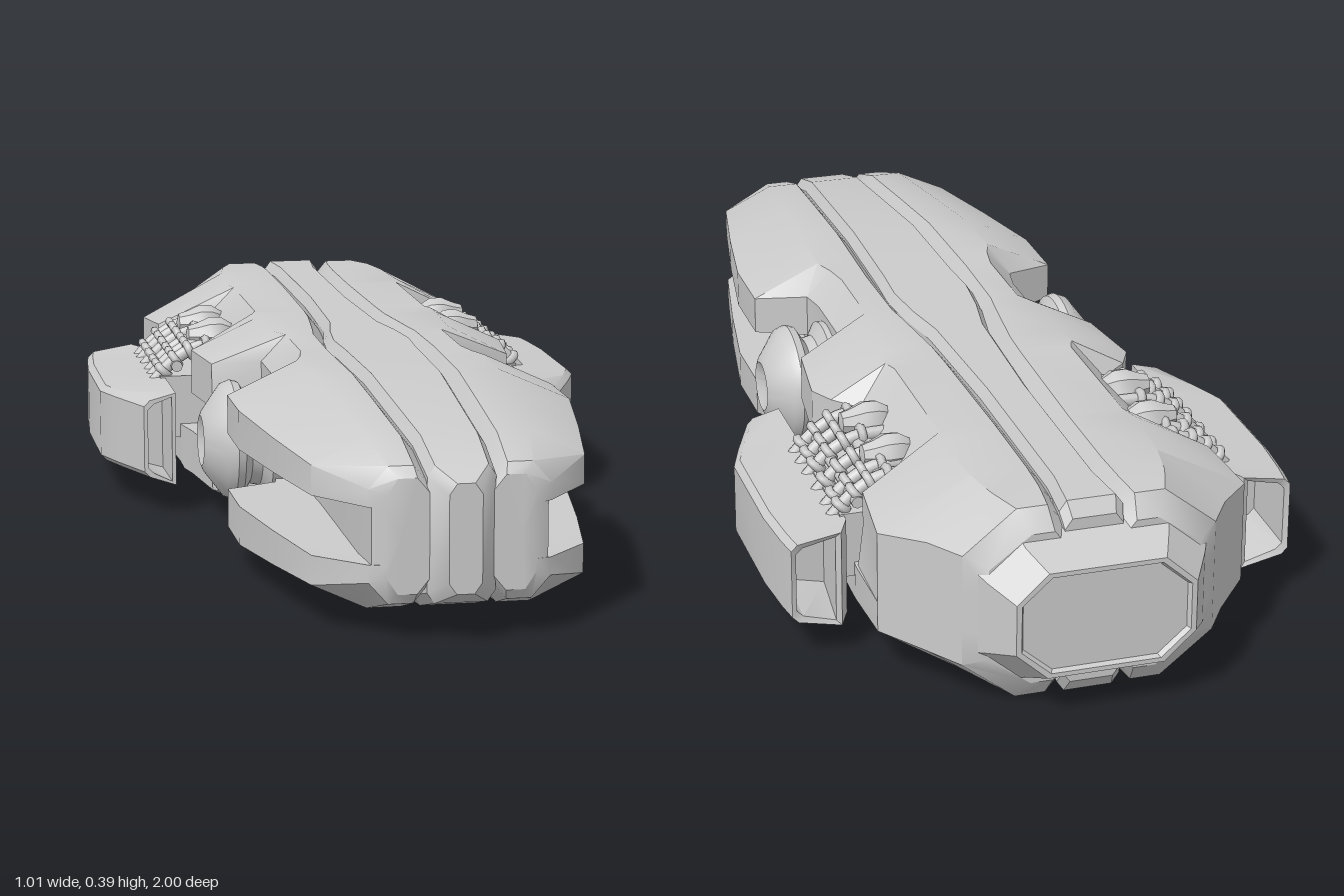
import * as THREE from 'three';
import { mergeGeometries, toCreasedNormals } from 'three/addons/utils/BufferGeometryUtils.js';

const CY = 0.193; // height of the hull's mid-plane
const mat = new THREE.MeshStandardMaterial({ color: 0xcccccc });

// Skin a list of equal-length loops of [x, y, z] and cap both ends
function loft(loops, crease = 0.55) {
  const n = loops[0].length, pos = loops.flat(2), idx = [];
  for (let i = 0; i < loops.length - 1; i++) {
    for (let j = 0; j < n; j++) {
      const a = i * n + j, b = i * n + (j + 1) % n;
      idx.push(a, b, b + n, a, b + n, a + n);
    }
  }
  [0, loops.length - 1].forEach((k) => {
    const c = pos.length / 3;
    for (let d = 0; d < 3; d++) pos.push(loops[k].reduce((s, p) => s + p[d], 0) / n);
    for (let j = 0; j < n; j++) {
      const a = k * n + j, b = k * n + (j + 1) % n;
      k ? idx.push(c, a, b) : idx.push(c, b, a);
    }
  });
  // Turn the faces outward if the enclosed volume is negative
  const v = (i) => new THREE.Vector3(pos[i * 3], pos[i * 3 + 1], pos[i * 3 + 2]);
  let vol = 0;
  for (let i = 0; i < idx.length; i += 3) vol += v(idx[i]).dot(v(idx[i + 1]).cross(v(idx[i + 2])));
  if (vol < 0) idx.reverse();
  const g = new THREE.BufferGeometry();
  g.setAttribute('position', new THREE.Float32BufferAttribute(pos, 3));
  g.setIndex(idx);
  return toCreasedNormals(g, crease);
}

// Mirror a geometry across x = 0, keeping its faces outward
function mirrored(geo) {
  const g = geo.index ? geo.toNonIndexed() : geo.clone();
  for (const name of ['position', 'normal']) {
    const a = g.attributes[name];
    for (let i = 0; i < a.count; i += 3) {
      const p = [0, 2, 1].map((k) => [-a.getX(i + k), a.getY(i + k), a.getZ(i + k)]);
      p.forEach((q, k) => a.setXYZ(i + k, ...q));
    }
  }
  return g;
}

// Lathe around an axis parallel to x; profile points are [radius, x]
function latheX(profile, y, z, segments) {
  const g = new THREE.LatheGeometry(profile.map((p) => new THREE.Vector2(...p)), segments);
  g.rotateZ(-Math.PI / 2).scale(1, 1, 1).translate(0, y, z);
  return toCreasedNormals(g, 0.6);
}

// Spine half width and half height along z
const spine = [
  [1.0, 0.03, 0.1], [0.96, 0.062, 0.125], [0.85, 0.066, 0.157], [0.45, 0.08, 0.193],
  [0.2, 0.085, 0.193], [0.1, 0.09, 0.193], [0, 0.08, 0.193], [-0.1, 0.062, 0.193],
  [-0.4, 0.05, 0.193], [-0.8, 0.05, 0.193], [-0.9, 0.06, 0.193], [-0.92, 0.055, 0.165],
];
function spineWidth(z) {
  for (let i = 0; i < spine.length - 1; i++) {
    const [a, b] = [spine[i], spine[i + 1]];
    if (z <= a[0] && z >= b[0]) return THREE.MathUtils.mapLinear(z, a[0], b[0], a[1], b[1]);
  }
  return 0.055;
}

// Hull side: z, half height, deck edge, width, shoulder height, slot floor x, slot half height, upper width
const sides = [
  [0.965, 0.105, 0.115, 0.135, 0.075, 0.135, 0.05],
  [0.95, 0.125, 0.13, 0.165, 0.085, 0.16, 0.052],
  [0.85, 0.157, 0.15, 0.25, 0.11, 0.165, 0.055],
  [0.65, 0.176, 0.165, 0.288, 0.12, 0.165, 0.055],
  [0.45, 0.193, 0.18, 0.32, 0.13, 0.165, 0.055],
  [0.3, 0.193, 0.185, 0.32, 0.13, 0.17, 0.055],
  [0.255, 0.193, 0.17, 0.22, 0.14, 0.18, 0.055],
  [0.2, 0.193, 0.16, 0.21, 0.14, 0.19, 0.05],
  [0.02, 0.193, 0.16, 0.21, 0.14, 0.19, 0.04],
  [-0.02, 0.193, 0.18, 0.305, 0.13, 0.25, 0.04],
  [-0.18, 0.193, 0.19, 0.325, 0.13, 0.27, 0.04],
  [-0.23, 0.193, 0.19, 0.335, 0.13, 0.29, 0.04, 0.3],
  [-0.26, 0.193, 0.18, 0.34, 0.12, 0.25, 0.04, 0.25],
  [-0.56, 0.193, 0.18, 0.35, 0.12, 0.25, 0.04, 0.25],
  [-0.6, 0.193, 0.19, 0.355, 0.11, 0.35, 0.04, 0.34],
  [-0.75, 0.193, 0.18, 0.355, 0.1, 0.355, 0.04],
  [-0.83, 0.193, 0.165, 0.285, 0.11, 0.285, 0.04],
  [-0.9, 0.19, 0.14, 0.24, 0.11, 0.24, 0.04],
  [-0.93, 0.15, 0.12, 0.2, 0.09, 0.2, 0.04],
];
function sideLoop([z, h, t, w, m, f, c, wu = w]) {
  const s = spineWidth(z) - 0.004, g = Math.min(s + 0.026, t);
  return [
    [s, h - 0.032], [g, h], [t, h], [wu, m], [wu, c], [Math.min(f, wu), c],
    [f, -c], [w, -c], [w, -m], [t, -h], [g, -h], [s, 0.032 - h],
  ].map(([x, y]) => [x, y + CY, z]);
}

// Octagon with half width w, half height h and corner cut c
function octagon(z, w, h, cx, cy) {
  return [[w, h - cy], [w - cx, h], [cx - w, h], [-w, h - cy],
    [-w, cy - h], [cx - w, -h], [w - cx, -h], [w, cy - h]].map(([x, y]) => [x, y + CY, z]);
}

// Pod cross-section from inner x to outer x, shrunk by d
function podLoop(z, xi, xo, d = 0) {
  const [a, b, y0, y1] = [xi + d, xo - d, 0.06 + d, 0.252 - d];
  return [[a, y0], [b - 0.012, y0 + 0.018], [b, y0 + 0.03],
    [b, y1 - 0.026], [b - 0.012, y1 - 0.014], [a, y1]].map(([x, y]) => [x, y, z]);
}

export function createModel() {
  const model = new THREE.Group();
  const add = (name, geo) => {
    const mesh = new THREE.Mesh(geo, mat);
    mesh.name = name;
    model.add(mesh);
  };
  const addPair = (name, geo) => {
    add('left' + name, geo);
    add('right' + name, mirrored(geo));
  };

  // Central spine, slotted hull sides and blunt tail
  add('spine', loft(spine.map(([z, w, h]) => octagon(z, w, h, 0.014, 0.02))));
  addPair('HullSide', loft(sides.map(sideLoop)));
  add('tail', loft([
    octagon(-0.84, 0.26, 0.17, 0.1, 0.08), octagon(-0.9, 0.225, 0.155, 0.08, 0.07),
    octagon(-0.94, 0.205, 0.13, 0.07, 0.06), octagon(-1, 0.17, 0.105, 0.06, 0.055),
    octagon(-1, 0.16, 0.096, 0.056, 0.05), octagon(-0.99, 0.155, 0.092, 0.055, 0.048),
  ]));

  // Round side thrusters in the waist, dimpled at the outer end
  addPair('Thruster', latheX([
    [0, 0.17], [0.1, 0.18], [0.118, 0.2], [0.118, 0.222], [0.092, 0.238], [0.088, 0.258],
    [0.115, 0.275], [0.119, 0.29], [0.112, 0.308], [0.062, 0.345], [0.05, 0.35], [0.03, 0.338], [0, 0.332],
  ], 0.2, 0.135, 40));

  // Hollow-ended outrigger pods and the arms carrying them
  addPair('Pod', loft([
    podLoop(-0.5, 0.375, 0.495, 0.015), podLoop(-0.645, 0.395, 0.49, 0.01),
    podLoop(-0.65, 0.395, 0.49), podLoop(-0.6, 0.372, 0.497), podLoop(-0.5, 0.37, 0.505),
    podLoop(-0.27, 0.37, 0.505), podLoop(-0.2, 0.37, 0.48), podLoop(-0.09, 0.37, 0.435),
    podLoop(-0.09, 0.37, 0.435, 0.008), podLoop(-0.2, 0.37, 0.47, 0.014),
  ]));
  const arm = new THREE.BoxGeometry(0.14, 0.13, 0.33);
  arm.translate(0.31, 0.19, -0.42);
  addPair('PodArm', arm);

  // Bulbs, ribbed hoses and cross rods joining hull and pod
  const bulbs = [-0.49, -0.34].map((z) => latheX([
    [0, 0.2], [0.018, 0.21], [0.036, 0.24], [0.037, 0.265], [0.026, 0.29], [0.02, 0.31], [0, 0.315],
  ], 0.325, z, 8));
  addPair('Bulbs', mergeGeometries(bulbs));

  const hoses = [];
  for (const z of [-0.56, -0.515, -0.45, -0.38, -0.33, -0.28]) {
    const path = new THREE.CatmullRomCurve3([[0.22, 0.315], [0.3, 0.31], [0.35, 0.282], [0.395, 0.235]]
      .map(([x, y]) => new THREE.Vector3(x, y, z)));
    hoses.push(new THREE.TubeGeometry(path, 16, 0.013, 8));
    for (const u of [0.3, 0.48, 0.65, 0.82]) {
      const ring = new THREE.TorusGeometry(0.014, 0.009, 6, 12);
      const dir = path.getTangentAt(u);
      ring.applyQuaternion(new THREE.Quaternion().setFromUnitVectors(new THREE.Vector3(0, 0, 1), dir));
      const p = path.getPointAt(u);
      hoses.push(ring.translate(p.x, p.y, p.z));
    }
  }
  addPair('Hoses', mergeGeometries(hoses));

  const rods = [[0.29, 0.3], [0.345, 0.275]].map(([x, y]) =>
    new THREE.CylinderGeometry(0.012, 0.012, 0.33, 8).rotateX(Math.PI / 2).translate(x, y, -0.42));
  addPair('CrossRods', mergeGeometries(rods));

  return model;
}
